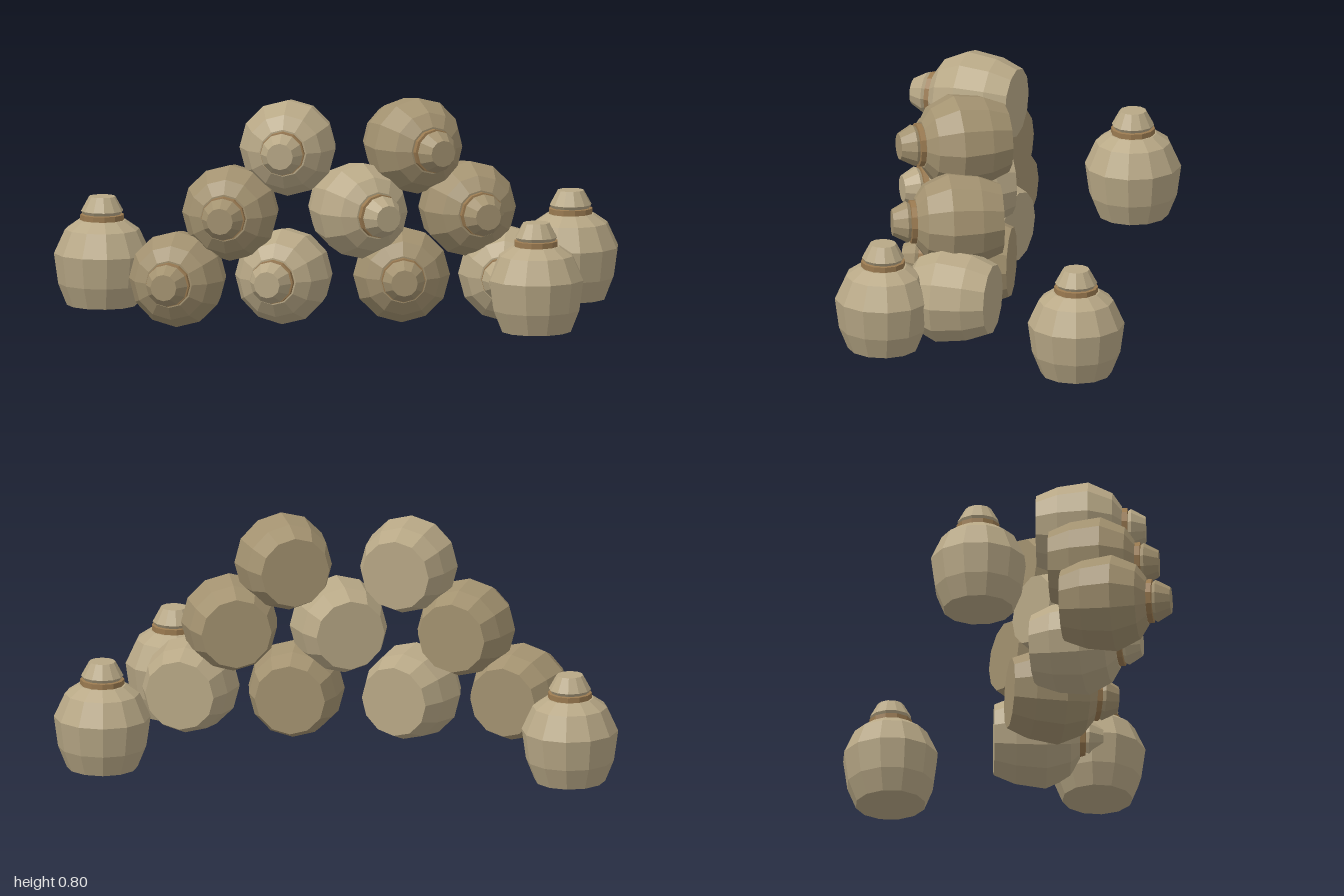
import * as THREE from 'three';

const SIDES = 12;
const mat = (color) => new THREE.MeshStandardMaterial({ color, flatShading: true });

// Surface of revolution from [radius, height] pairs, listed bottom to top
function turned(points) {
  return new THREE.LatheGeometry(points.map(([r, y]) => new THREE.Vector2(r, y)), SIDES);
}

export function createModel() {
  const model = new THREE.Group();
  model.name = 'jarPile';

  const lightClay = mat(0xb8a886);
  const darkClay = mat(0xa39270);
  const cord = mat(0x9a7a50);

  const bodyGeo = turned([[0, 0], [0.125, 0], [0.156, 0.077], [0.171, 0.185],
    [0.132, 0.27], [0.084, 0.303], [0, 0.303]]);
  const cordGeo = turned([[0.06, 0.3], [0.078, 0.303], [0.078, 0.322], [0.06, 0.325]]);
  const capGeo = turned([[0.062, 0.315], [0.075, 0.335], [0.047, 0.386], [0, 0.386]]);

  function makeJar(name, clay) {
    const jar = new THREE.Group();
    jar.name = name;
    const parts = [['body', bodyGeo, clay], ['neckCord', cordGeo, cord], ['cap', capGeo, clay]];
    for (const [partName, geo, material] of parts) {
      const mesh = new THREE.Mesh(geo, material);
      mesh.name = partName;
      jar.add(mesh);
    }
    model.add(jar);
    return jar;
  }

  // Jars standing upright: x, z, turn
  const standing = [[-0.83, -0.37, 0], [0.828, -0.34, 0.1], [0.634, 0.365, 0.2]];
  standing.forEach(([x, z, turn], i) => {
    const jar = makeJar(`standingJar${i + 1}`, lightClay);
    jar.position.set(x, 0, z);
    jar.rotation.y = turn;
  });

  // Jars stacked on their sides, caps to the front: x, y, z of the belly, yaw, clay
  const stacked = [
    [-0.62, 0.172, 0.16, -0.33, darkClay],
    [-0.243, 0.172, 0.135, -0.37, lightClay],
    [0.18, 0.172, 0.135, -0.05, darkClay],
    [0.55, 0.172, 0.158, -0.18, lightClay],
    [-0.43, 0.405, 0.155, -0.28, darkClay],
    [0.04, 0.405, 0.158, 0.36, lightClay],
    [0.42, 0.405, 0.15, 0.23, darkClay],
    [-0.225, 0.633, 0.15, -0.24, lightClay],
    [0.235, 0.633, 0.15, 0.36, darkClay],
  ];
  stacked.forEach(([x, y, z, yaw, clay], i) => {
    const jar = makeJar(`stackedJar${i + 1}`, clay);
    jar.rotation.set(Math.PI / 2, yaw, 0, 'YXZ');
    // Shift back along the axis so the belly sits at the given point
    jar.position.set(x - 0.18 * Math.sin(yaw), y, z - 0.18 * Math.cos(yaw));
  });

  return model;
}
